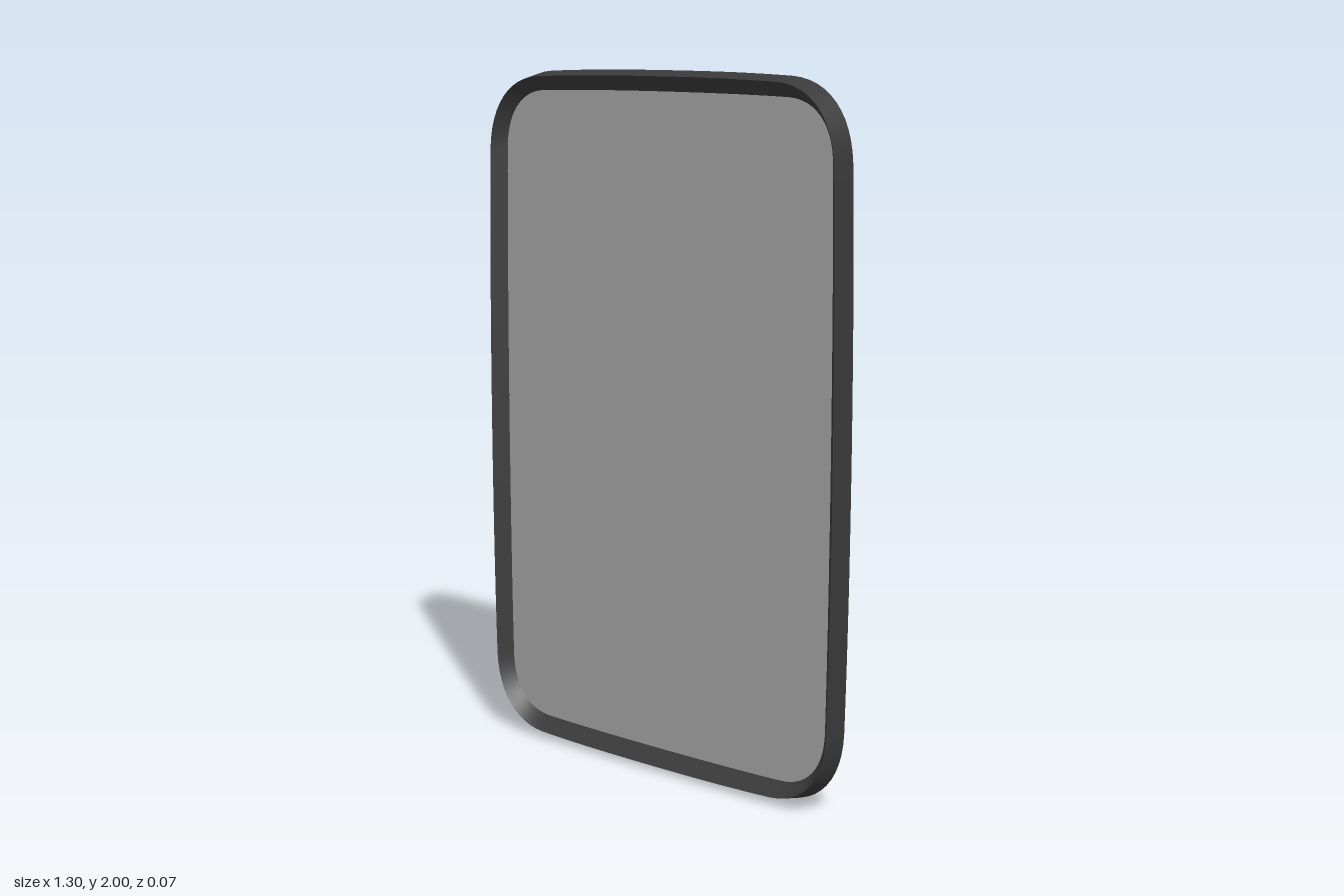
import * as THREE from 'three';

// Softly bulging rounded rectangle; w and h are half sizes, k scales the corner
function outline(w, h, k) {
  const s = new THREE.Shape();
  const q = [ // quarter outline from the right middle to the top middle
    [w, h * 0.35], [w - 0.005 * k, h - 0.4 * k], [w - 0.01 * k, h - 0.23 * k],
    [w - 0.016 * k, h - 0.1 * k], [w - 0.09 * k, h - 0.015 * k], [w - 0.21 * k, h - 0.008 * k],
    [w - 0.35 * k, h - 0.002], [w * 0.3, h], [0, h],
  ];
  const up = [[w, 0], ...q];
  const down = [...up].reverse();
  const flip = (list, sx, sy) => list.slice(1).map(([x, y]) => [x * sx, y * sy]);
  s.moveTo(w, 0);
  const path = [...flip(up, 1, 1), ...flip(down, -1, 1), ...flip(up, -1, -1), ...flip(down, 1, -1)];
  for (let i = 0; i < path.length; i += 3) {
    s.bezierCurveTo(...path[i], ...path[i + 1], ...path[i + 2]);
  }
  return s;
}

// Smooth wall between two outlines at different depths
function wall(shapeA, zA, shapeB, zB, steps) {
  const ring = (shape) => {
    const pts = shape.getPoints(steps);
    if (pts[0].distanceTo(pts[pts.length - 1]) < 1e-5) pts.pop();
    return pts;
  };
  const a = ring(shapeA), b = ring(shapeB), n = a.length;
  const pos = [], idx = [];
  for (let i = 0; i < n; i++) {
    pos.push(a[i].x, a[i].y, zA, b[i].x, b[i].y, zB);
    const j = (i + 1) % n;
    idx.push(2 * i, 2 * j, 2 * i + 1, 2 * j, 2 * j + 1, 2 * i + 1);
  }
  const g = new THREE.BufferGeometry();
  g.setAttribute('position', new THREE.Float32BufferAttribute(pos, 3));
  g.setIndex(idx);
  g.computeVertexNormals();
  return g;
}

export function createModel() {
  const group = new THREE.Group();
  group.name = 'framedMirror';
  const frameDark = new THREE.MeshStandardMaterial({ color: 0x393939 });
  frameDark.name = 'frameDark';
  const glassGrey = new THREE.MeshStandardMaterial({ color: 0xa0a0a0 });
  glassGrey.name = 'glassGrey';

  const steps = 12, depth = 0.033, paneZ = -0.006;
  const back = outline(0.648, 1, 1);
  const front = outline(0.635, 0.985, 0.95);
  const pane = outline(0.6, 0.943, 0.72);

  const add = (name, geometry, material, z = 0) => {
    const mesh = new THREE.Mesh(geometry, material);
    mesh.name = name;
    mesh.position.set(0, 1, z);
    group.add(mesh);
    return mesh;
  };

  // Frame: outer wall tapering forward, then a bevel down to the glass
  add('frameOuterWall', wall(back, -depth, front, depth, steps), frameDark);
  add('frameInnerBevel', wall(front, depth, pane, paneZ, steps), frameDark);

  // Flat back and recessed glass
  add('backPanel', new THREE.ShapeGeometry(back, steps), frameDark, -depth).rotation.y = Math.PI;
  add('glass', new THREE.ShapeGeometry(pane, steps), glassGrey, paneZ);
  return group;
}
